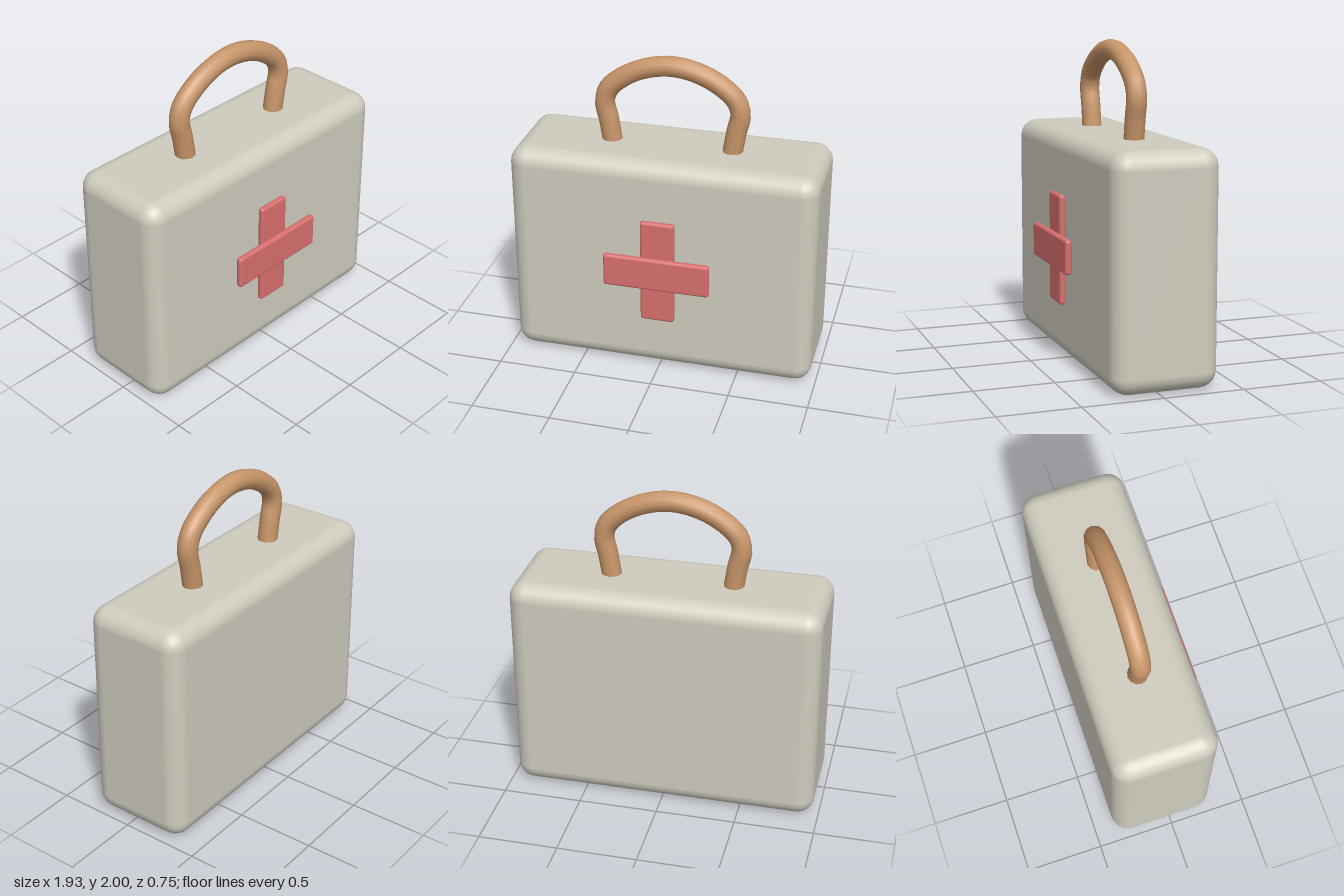
import * as THREE from 'three';
import { RoundedBoxGeometry } from 'three/addons/geometries/RoundedBoxGeometry.js';

const paint = (name, color) => {
  const material = new THREE.MeshStandardMaterial({ color });
  material.name = name;
  return material;
};

export function createModel() {
  const model = new THREE.Group();
  model.name = 'firstAidCase';

  const caseGrey = paint('caseGrey', 0xcfccbe);
  const crossRed = paint('crossRed', 0xd96f6f);
  const handleTan = paint('handleTan', 0xc8966a);
  const midZ = -0.043; // depth of the case and handle centre

  const add = (name, geometry, material, x, y, z) => {
    const mesh = new THREE.Mesh(geometry, material);
    mesh.name = name;
    mesh.position.set(x, y, z);
    model.add(mesh);
  };

  // Soft-edged case
  add('caseBody', new RoundedBoxGeometry(1.934, 1.42, 0.664, 3, 0.11), caseGrey, 0, 0.715, midZ);

  // Cross: two overlapping bars, the horizontal one in front
  add('crossUpright', new RoundedBoxGeometry(0.216, 0.69, 0.042, 2, 0.018), crossRed, 0, 0.716, 0.317);
  add('crossBar', new RoundedBoxGeometry(0.67, 0.216, 0.042, 2, 0.018), crossRed, 0, 0.717, 0.354);

  // Arched handle, mirrored about the middle, with its ends sunk into the case
  const half = [[0.376, 1.38], [0.402, 1.55], [0.425, 1.67], [0.392, 1.765], [0.22, 1.888]];
  const path = new THREE.CatmullRomCurve3([
    ...half.map(([x, y]) => new THREE.Vector3(-x, y, 0)),
    new THREE.Vector3(0, 1.937, 0),
    ...half.slice().reverse().map(([x, y]) => new THREE.Vector3(x, y, 0)),
  ]);
  add('handle', new THREE.TubeGeometry(path, 48, 0.063, 12), handleTan, 0, 0, midZ);

  return model;
}
